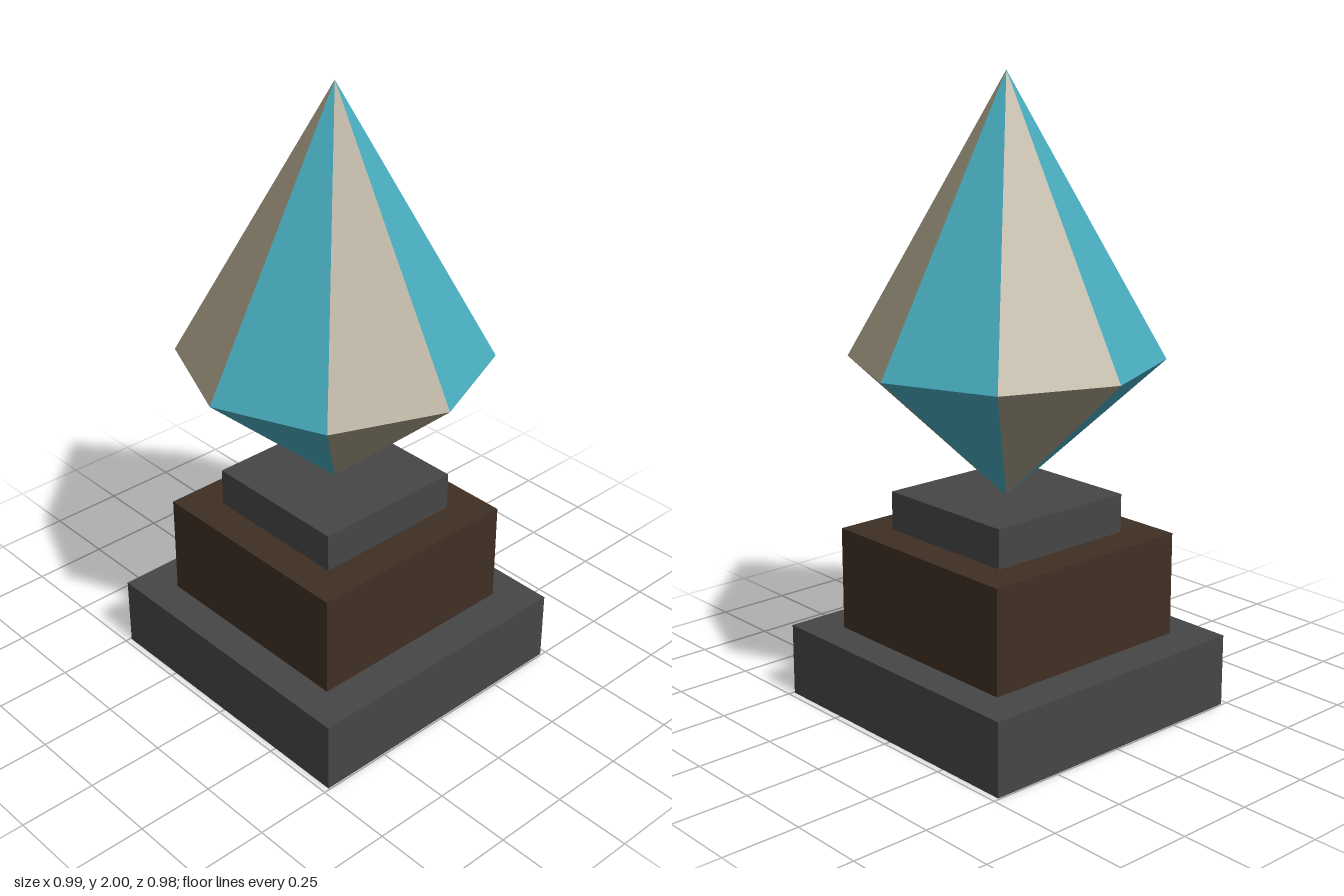
import * as THREE from 'three';

const mat = (name, color) => {
  const m = new THREE.MeshStandardMaterial({ color });
  m.name = name;
  return m;
};

export function createModel() {
  const group = new THREE.Group();
  group.name = 'crystalOnPedestal';

  const stone = mat('dark stone', 0x464646);
  const wood = mat('dark brown', 0x402f25);
  const teal = mat('teal crystal', 0x47abbd);
  const tan = mat('tan crystal', 0xa59b85);

  // Stepped pedestal: name, width, depth, bottom, top, material
  const steps = [
    ['baseSlab', 0.99, 0.96, 0, 0.235, stone],
    ['middleBlock', 0.735, 0.738, 0.235, 0.57, wood],
    ['topSlab', 0.502, 0.514, 0.57, 0.695, stone],
  ];
  for (const [name, w, d, y0, y1, material] of steps) {
    const mesh = new THREE.Mesh(new THREE.BoxGeometry(w, y1 - y0, d), material);
    mesh.name = name;
    mesh.position.y = (y0 + y1) / 2;
    group.add(mesh);
  }

  // Eight-sided crystal: facets alternate between the two colours
  const SIDES = 8, RADIUS = 0.49, GIRDLE = 1.13, APEX = 2, TIP = 0.685;
  const rim = (i) => {
    const a = (i / SIDES) * Math.PI * 2;
    return [RADIUS * Math.sin(a), GIRDLE, RADIUS * Math.cos(a)];
  };
  const facets = (first) => {
    const p = [];
    for (let i = first; i < SIDES; i += 2) {
      const a = rim(i), b = rim(i + 1);
      p.push(...a, ...b, 0, APEX, 0); // upper facet
      p.push(...b, ...a, 0, TIP, 0); // lower facet
    }
    const g = new THREE.BufferGeometry();
    g.setAttribute('position', new THREE.Float32BufferAttribute(p, 3));
    g.computeVertexNormals();
    return g;
  };
  const crystal = new THREE.Group();
  crystal.name = 'crystal';
  [['tealFacets', teal], ['tanFacets', tan]].forEach(([name, material], i) => {
    const mesh = new THREE.Mesh(facets(i), material);
    mesh.name = name;
    crystal.add(mesh);
  });
  group.add(crystal);

  return group;
}
